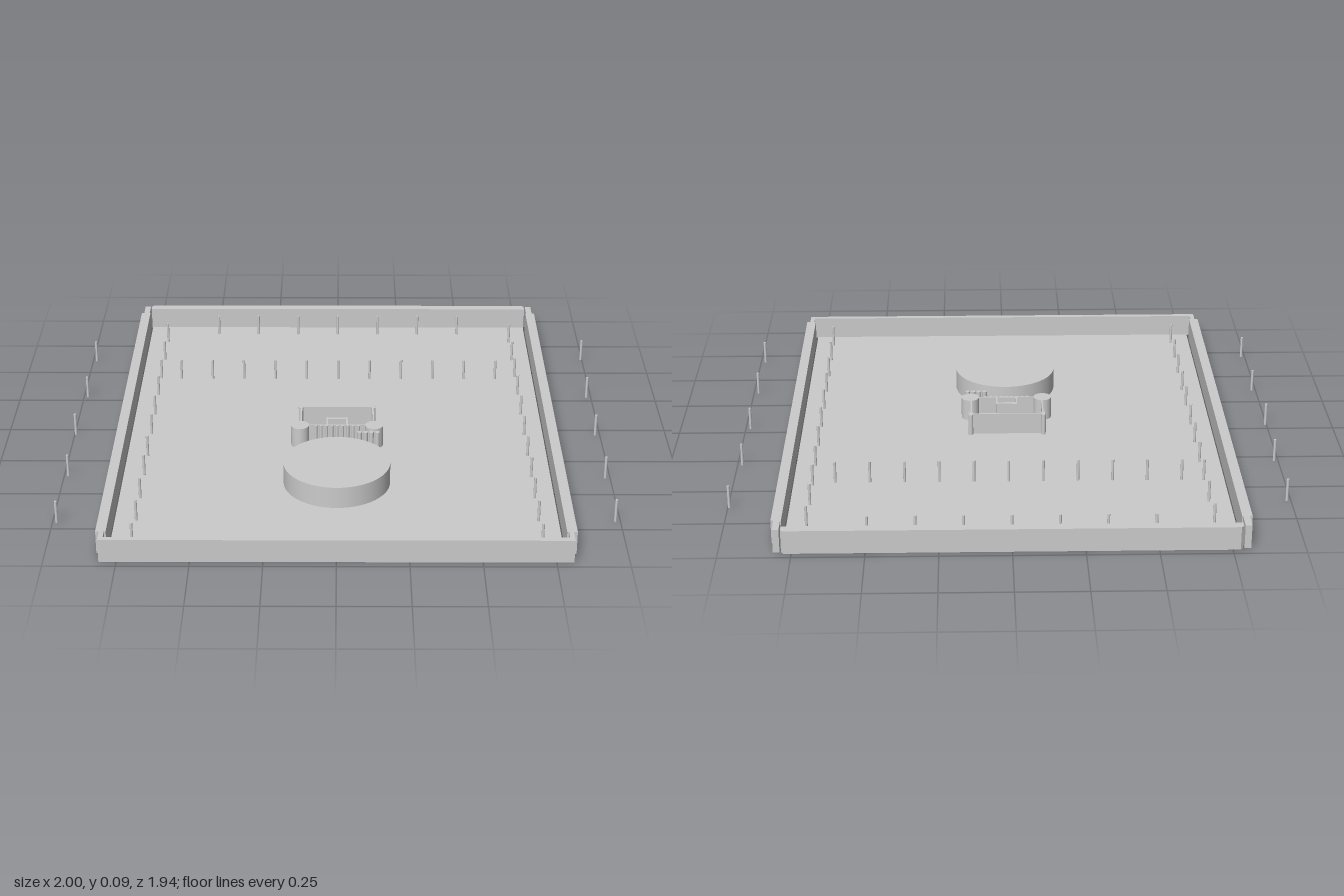
import * as THREE from 'three';

const H = 0.086;      // full height of all upright parts
const FLOOR = 0.004;  // sheet thickness

export function createModel() {
  const model = new THREE.Group();
  const material = new THREE.MeshStandardMaterial({ color: 0xcccccc, side: THREE.DoubleSide });

  const add = (name, geometry, x, y, z) => {
    const mesh = new THREE.Mesh(geometry, material);
    mesh.name = name;
    mesh.position.set(x, y, z);
    model.add(mesh);
    return mesh;
  };
  // Box given by its limits in plan
  const block = (name, x0, x1, z0, z1, h = H) =>
    add(name, new THREE.BoxGeometry(x1 - x0, h, z1 - z0), (x0 + x1) / 2, h / 2, (z0 + z1) / 2);
  const post = (name, x, z, r, sides) =>
    add(name, new THREE.CylinderGeometry(r, r, H, sides), x, H / 2, z);

  // Floor sheet
  block('floorPanel', -0.782, 0.782, -0.932, 0.945, FLOOR);

  // Back flange with clipped outer corners
  const back = new THREE.Shape([
    [-0.785, 0.937], [0.785, 0.937], [0.785, 0.963], [0.776, 0.973], [-0.776, 0.973], [-0.785, 0.963],
  ].map(([x, y]) => new THREE.Vector2(x, y)));
  const backGeometry = new THREE.ExtrudeGeometry(back, { depth: H, bevelEnabled: false });
  backGeometry.rotateX(-Math.PI / 2);
  add('backFlange', backGeometry, 0, 0, 0);

  // Front flange, side flanges and the stepped corner tabs
  block('frontFlange', -0.81, 0.81, 0.95, 0.971);
  for (const s of [-1, 1]) {
    const side = (name, a, b, z0, z1) => block(name, Math.min(s * a, s * b), Math.max(s * a, s * b), z0, z1);
    side('sideFlange', 0.787, 0.823, -0.893, 0.913);
    side('frontCornerTab', 0.793, 0.81, 0.913, 0.95);
    side('backCornerTab', 0.79, 0.813, -0.962, -0.893);
  }

  // Fastener pins: edge columns, back row, middle row and loose outer pins
  const pins = [];
  const columns = [
    [-0.706, [-0.79, -0.615, -0.444, -0.294, -0.123, 0.037, 0.214, 0.364, 0.535, 0.695, 0.856]],
    [0.711, [-0.786, -0.615, -0.46, -0.3, -0.128, 0.043, 0.209, 0.374, 0.53, 0.695, 0.856]],
    [-0.985, [-0.61, -0.283, 0.364, 0.706]],
    [0.982, [-0.283, 0.037, 0.374, 0.69]],
  ];
  columns.forEach(([x, zs]) => zs.forEach((z) => pins.push([x, z])));
  pins.push([-0.995, 0.037], [0.995, -0.626]);
  for (let i = 0; i < 7; i++) pins.push([-0.498 + i * 0.166, -0.866]);
  for (let i = 0; i < 11; i++) pins.push([-0.626 + i * 0.1257, -0.44]);
  pins.forEach(([x, z]) => post('pin', x, z, 0.005, 12));

  // Large round boss
  post('roundBoss', 0, 0.413, 0.194, 64);

  // Thin-walled connector frame with end posts and small corner ears
  const T = 0.006;
  const wall = (x0, z0, x1, z1) =>
    block('frameWall', x0 - T / 2, x1 + T / 2, z0 - T / 2, z1 + T / 2);
  wall(-0.135, -0.03, 0.135, -0.03);
  wall(-0.105, 0.122, 0.105, 0.122);
  for (const s of [-1, 1]) {
    wall(s * 0.136, -0.03, s * 0.136, 0.09);
    post('framePost', s * 0.139, 0.123, 0.034, 32);
    for (const z of [-0.038, -0.024]) post('frameEar', s * 0.138, z, 0.009, 12);
    wall(s * 0.037, 0.06, s * 0.037, 0.122);
  }
  wall(-0.037, 0.06, 0.037, 0.06);
  wall(-0.037, 0.07, 0.037, 0.07);

  // Scalloped front edge of the frame
  for (let i = 0; i < 9; i++) post('frameScallop', -0.08 + i * 0.02, 0.127, 0.006, 10);

  // Row of four small studs
  for (let i = 0; i < 4; i++) post('stud', 0.084 + i * 0.022, 0.179, 0.009, 16);

  return model;
}
